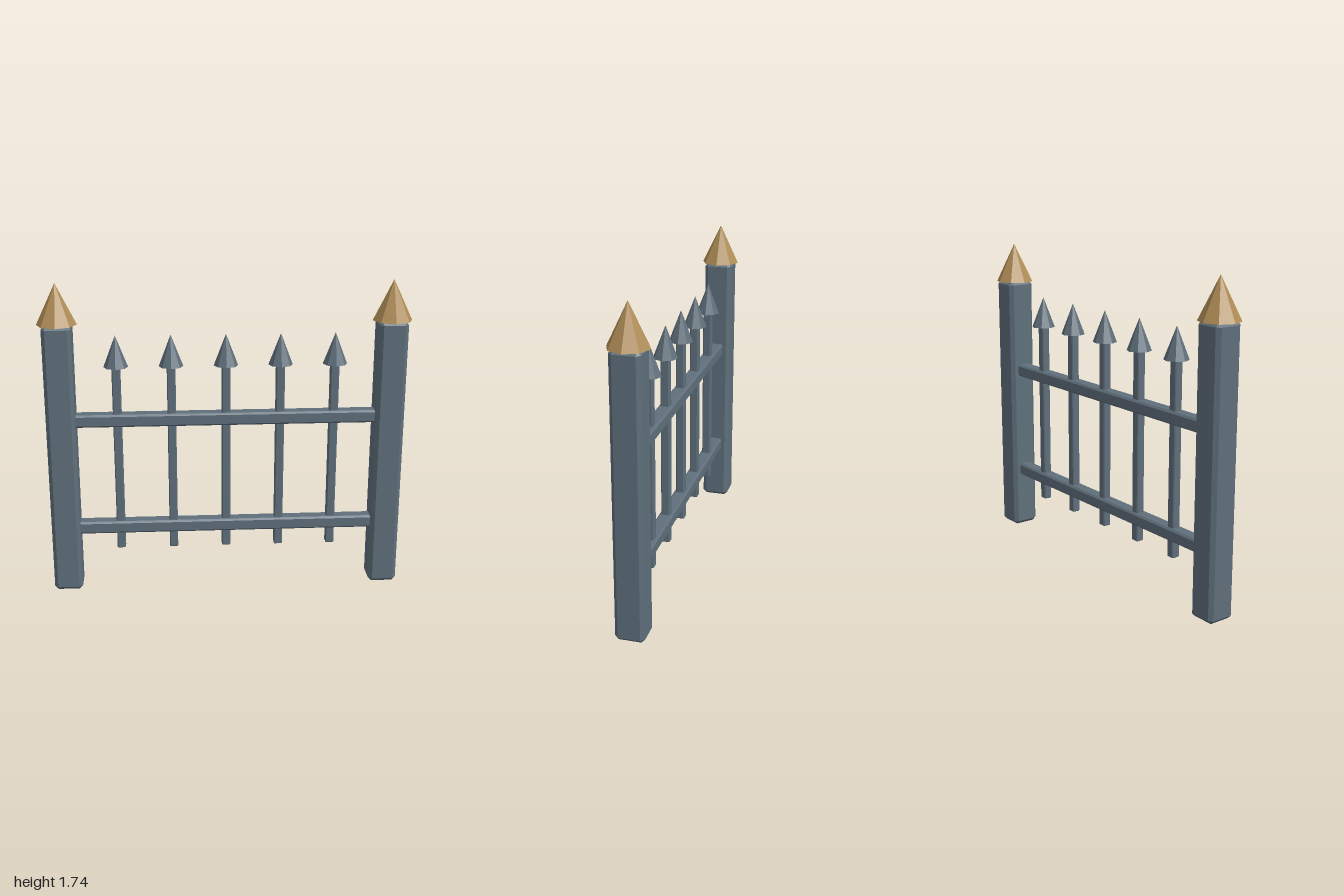
import * as THREE from 'three';
import { ConvexGeometry } from 'three/addons/geometries/ConvexGeometry.js';

const iron = new THREE.MeshStandardMaterial({ color: 0x5f6f7b, flatShading: true });
const brass = new THREE.MeshStandardMaterial({ color: 0xb08d57, flatShading: true });

// Box with every edge cut by a flat chamfer c
function chamferBox(w, h, d, c) {
  const points = [];
  for (const sx of [-1, 1]) for (const sy of [-1, 1]) for (const sz of [-1, 1]) {
    const x = w / 2, y = h / 2, z = d / 2;
    points.push(
      new THREE.Vector3(sx * x, sy * (y - c), sz * (z - c)),
      new THREE.Vector3(sx * (x - c), sy * y, sz * (z - c)),
      new THREE.Vector3(sx * (x - c), sy * (y - c), sz * z));
  }
  return new ConvexGeometry(points);
}

export function createModel() {
  const model = new THREE.Group();
  model.name = 'fencePanel';

  const add = (name, geometry, material, x, y) => {
    const mesh = new THREE.Mesh(geometry, material);
    mesh.name = name;
    mesh.position.set(x, y, 0);
    model.add(mesh);
  };

  // End posts with pointed caps
  const postGeometry = chamferBox(0.157, 1.52, 0.157, 0.02);
  const capGeometry = new THREE.ConeGeometry(0.107, 0.22, 8);
  for (const [side, x] of [['right', -0.893], ['left', 0.893]]) {
    add(side + 'Post', postGeometry, iron, x, 0.76);
    add(side + 'PostCap', capGeometry, brass, x, 1.625);
  }

  // Horizontal rails, their ends sunk into the posts
  const railGeometry = chamferBox(1.68, 0.07, 0.077, 0.01);
  add('lowerRail', railGeometry, iron, 0, 0.36);
  add('upperRail', railGeometry, iron, 0, 0.985);

  // Pickets with spear tips
  const picketGeometry = chamferBox(0.047, 1.06, 0.047, 0.005);
  const tipGeometry = new THREE.ConeGeometry(0.066, 0.172, 8);
  for (let i = -2; i <= 2; i++) {
    add('picket' + (i + 3), picketGeometry, iron, i * 0.295, 0.76);
    add('picketTip' + (i + 3), tipGeometry, iron, i * 0.295, 1.366);
  }

  return model;
}
